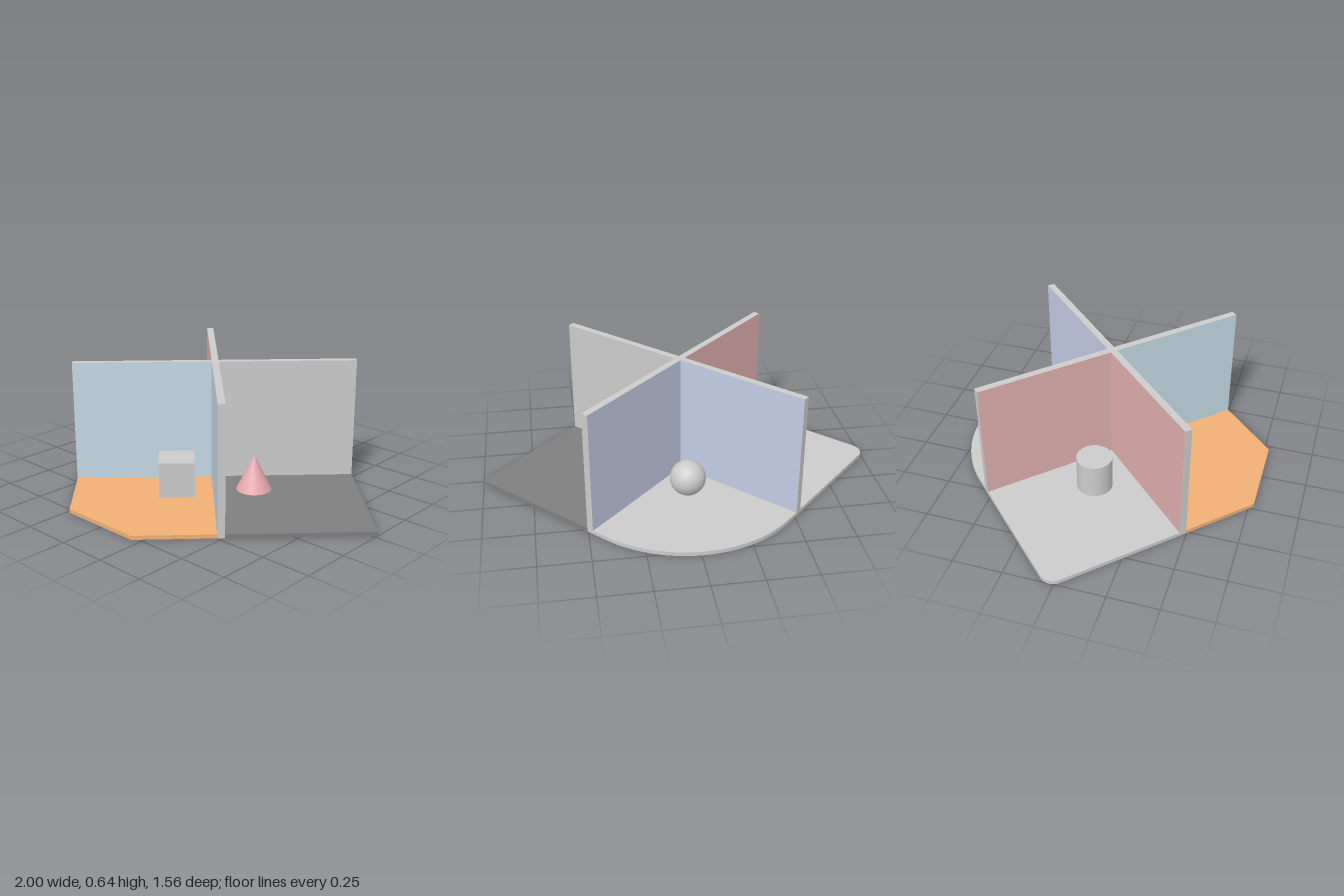
import * as THREE from 'three';

const H = 0.0175;      // half wall thickness
const E = 0.7175;      // wall reach from the centre
const FLOOR = 0.02;    // floor thickness
const TOP = 0.64;      // wall height

const paint = (color = 0xcccccc) => new THREE.MeshStandardMaterial({ color });

function add(parent, name, geometry, color, x = 0, y = 0, z = 0) {
  const mesh = new THREE.Mesh(geometry, paint(color));
  mesh.name = name;
  mesh.position.set(x, y, z);
  parent.add(mesh);
  return mesh;
}

// Extrude a plan shape upwards
function slab(shape, height) {
  const g = new THREE.ExtrudeGeometry(shape, { depth: height, bevelEnabled: false, curveSegments: 14 });
  return g.rotateX(-Math.PI / 2);
}

// Square floor tile whose outer corner is sharp, chamfered or rounded
function floorShape(corner, size) {
  const s = new THREE.Shape();
  s.moveTo(H, H);
  s.lineTo(E, H);
  if (corner === 'sharp') s.lineTo(E, E);
  else {
    s.lineTo(E, E - size);
    if (corner === 'round') s.absarc(E - size, E - size, size, 0, Math.PI / 2, false);
    else s.lineTo(E - size, E);
  }
  s.lineTo(H, E);
  s.closePath();
  return s;
}

// Plus-shaped plan of the two crossing walls
function crossShape() {
  const pts = [];
  for (let k = 0; k < 4; k++) {
    for (const [x, y] of [[H, -H], [E, -H], [E, H]]) {
      pts.push(new THREE.Vector2(x, y).rotateAround(new THREE.Vector2(), k * Math.PI / 2));
    }
  }
  return new THREE.Shape(pts);
}

export function createModel() {
  const model = new THREE.Group();
  model.name = 'dividedDisplay';
  const body = new THREE.Group();
  body.name = 'displayBody';
  body.position.set(-0.015, 0, -0.022);
  model.add(body);

  // Crossing walls on a thin base strip
  const strip = 0.003;
  add(body, 'baseStrip', slab(crossShape(), strip), 0xf0b074).rotation.y = Math.PI / 4;
  add(body, 'crossWalls', slab(crossShape(), TOP - strip), 0xcccccc, 0, strip).rotation.y = Math.PI / 4;

  // Four bays, each with a floor, two wall panels and one solid
  const solid = 0.18;
  const bays = [
    { name: 'right', corner: 'sharp', size: 0, floor: 0x7f7f7f, item: 'cone', dist: 0.268, color: 0xe8abb0,
      geo: new THREE.ConeGeometry(0.09, solid, 32) },
    { name: 'back', corner: 'round', size: 0.616, panel: 0xc3cce5, item: 'sphere', dist: 0.268,
      geo: new THREE.SphereGeometry(0.09, 32, 20) },
    { name: 'left', corner: 'round', size: 0.07, panel: 0xe1b0b0, item: 'cylinder', dist: 0.308,
      geo: new THREE.CylinderGeometry(0.09, 0.09, solid, 32) },
    { name: 'front', corner: 'chamfer', size: 0.308, floor: 0xf0b074, panel: 0xc5dae6, item: 'cube', dist: 0.283,
      geo: new THREE.BoxGeometry(0.177, solid, 0.177) },
  ];
  bays.forEach((b, k) => {
    const bay = new THREE.Group();
    bay.name = b.name + 'Bay';
    bay.rotation.y = -Math.PI / 4 + k * Math.PI / 2;
    body.add(bay);

    add(bay, b.name + 'Floor', slab(floorShape(b.corner, b.size), FLOOR), b.floor);

    if (b.panel) {
      const sheet = new THREE.PlaneGeometry(E - H, TOP - FLOOR);
      const mid = (E + H) / 2, y = (TOP + FLOOR) / 2, off = H + 0.0015;
      add(bay, b.name + 'PanelA', sheet, b.panel, mid, y, -off).rotation.y = Math.PI;
      add(bay, b.name + 'PanelB', sheet, b.panel, off, y, -mid).rotation.y = Math.PI / 2;
    }

    const d = b.dist * Math.SQRT1_2;
    add(bay, b.item, b.geo, b.color, d, FLOOR + solid / 2, -d);
  });
  return model;
}
